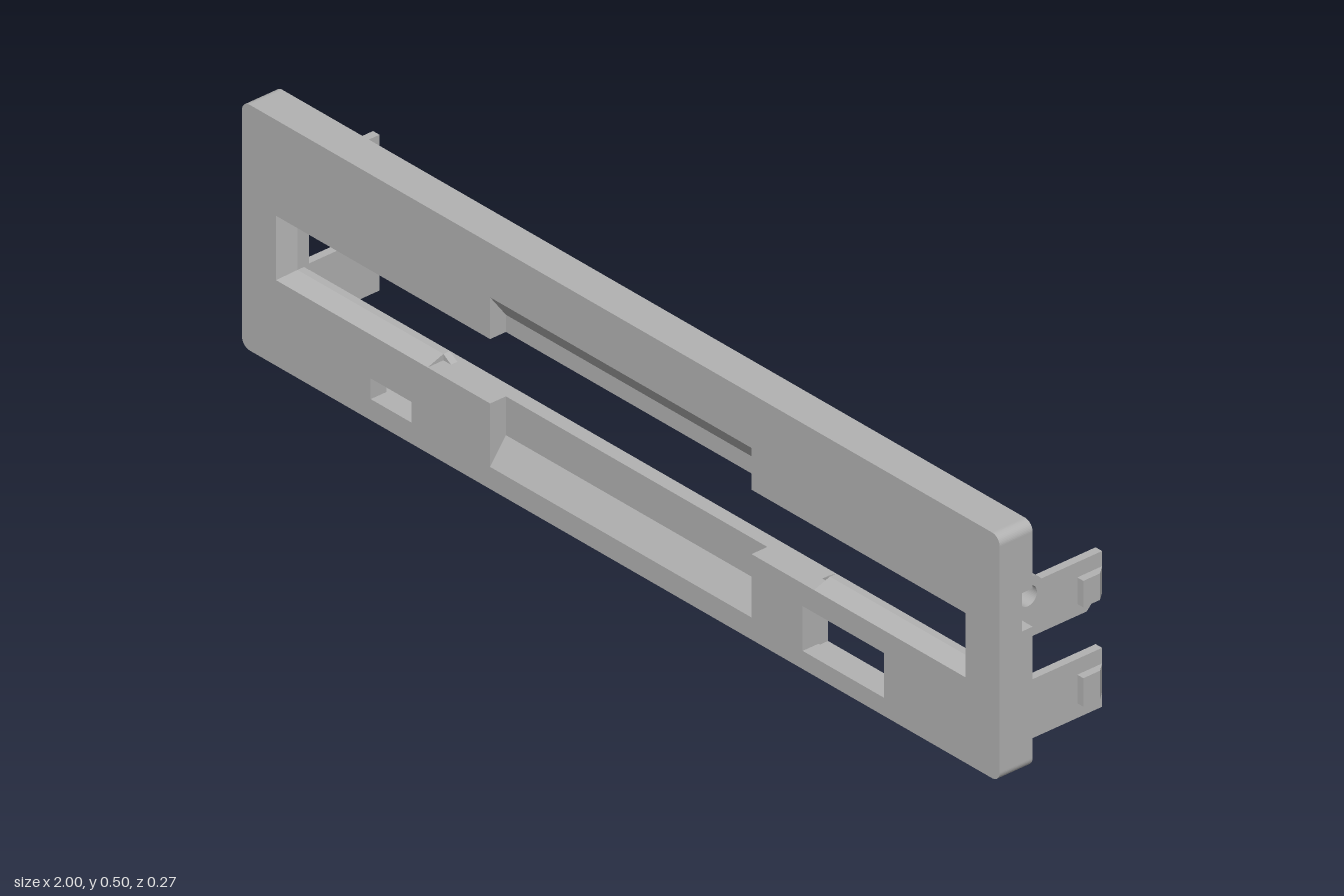
import * as THREE from 'three';

const plastic = new THREE.MeshStandardMaterial({ color: 0xb2b2b2 });
plastic.name = 'grey plastic';

const rect = (x0, x1, y0, y1) => [[x0, y0], [x1, y0], [x1, y1], [x0, y1]];
const toPath = (pts) => new THREE.Path(pts.map(([x, y]) => new THREE.Vector2(x, y)));

export function createModel() {
  const model = new THREE.Group();
  model.name = 'drive bezel';

  const add = (name, geometry, parent = model) => {
    const mesh = new THREE.Mesh(geometry, plastic);
    mesh.name = name;
    parent.add(mesh);
  };

  // Rounded plate outline, optionally notched at both side edges for the pivots
  const outline = (notched) => {
    const s = new THREE.Shape(), r = 0.02;
    s.moveTo(-1 + r, 0);
    s.lineTo(1 - r, 0);
    s.absarc(1 - r, r, r, -Math.PI / 2, 0);
    if (notched) [[1, 0.287], [0.925, 0.287], [0.925, 0.365], [1, 0.365]].forEach(([x, y]) => s.lineTo(x, y));
    s.lineTo(1, 0.5 - r);
    s.absarc(1 - r, 0.5 - r, r, 0, Math.PI / 2);
    s.lineTo(-1 + r, 0.5);
    s.absarc(-1 + r, 0.5 - r, r, Math.PI / 2, Math.PI);
    if (notched) [[-1, 0.365], [-0.925, 0.365], [-0.925, 0.287], [-1, 0.287]].forEach(([x, y]) => s.lineTo(x, y));
    s.lineTo(-1, r);
    s.absarc(-1 + r, r, r, Math.PI, Math.PI * 1.5);
    return s;
  };

  const layer = (name, z0, z1, holes, notched = false) => {
    const s = outline(notched);
    s.holes = holes.map(toPath);
    const g = new THREE.ExtrudeGeometry(s, { depth: z1 - z0, bevelEnabled: false, curveSegments: 6 });
    add(name, g.translate(0, 0, z0));
  };

  // Shape drawn with x = -z, extruded along x
  const extrudeX = (shape, x0, x1) =>
    new THREE.ExtrudeGeometry(shape, { depth: x1 - x0, bevelEnabled: false, curveSegments: 24 })
      .rotateY(Math.PI / 2).translate(x0, 0, 0);
  // Profile of [z, y] points extruded along x
  const prism = (profile, x0, x1) =>
    extrudeX(new THREE.Shape(profile.map(([z, y]) => new THREE.Vector2(-z, y))), x0, x1);
  // Profile of [z, x] points extruded upward along y
  const uprightPrism = (profile, y0, y1) =>
    prism(profile.map(([z, x]) => [z, -x]), y0, y1).rotateZ(Math.PI / 2);

  // Front layer: wide slot with finger recess, and two small windows
  const wideSlot = [
    [-0.91, 0.174], [-0.345, 0.174], [-0.345, 0.045], [0.345, 0.045], [0.345, 0.174], [0.91, 0.174],
    [0.91, 0.305], [0.345, 0.305], [0.345, 0.39], [-0.345, 0.39], [-0.345, 0.305], [-0.91, 0.305],
  ];
  layer('front face', 0.1, 0.137, [
    wideSlot, rect(-0.66, -0.553, 0.043, 0.085), rect(0.48, 0.695, 0.037, 0.128),
  ]);

  // Middle layer: slot narrowed at both ends, and the pockets behind the windows
  const pockets = [rect(-0.78, -0.467, 0.035, 0.15), rect(0.46, 0.72, 0.018, 0.152)];
  const narrowSlot = [
    [-0.895, 0.187], [-0.51, 0.187], [-0.49, 0.174], [0.49, 0.174], [0.51, 0.187], [0.895, 0.187],
    [0.895, 0.285], [0.51, 0.285], [0.49, 0.305], [-0.49, 0.305], [-0.51, 0.285], [-0.895, 0.285],
  ];
  layer('slot wall', 0.085, 0.1, [narrowSlot, ...pockets]);

  // Back layer: long recess around the slot
  layer('back face', 0.06, 0.085, [rect(-0.91, 0.91, 0.165, 0.355), ...pockets], true);

  // Sloped top and bottom of the finger recess
  add('recess lower slope', prism([[0.137, 0.045], [0.1, 0.045], [0.1, 0.095]], -0.345, 0.345));
  add('recess upper slope', prism([[0.137, 0.39], [0.1, 0.39], [0.1, 0.34]], -0.345, 0.345));

  for (const side of [-1, 1]) {
    const group = new THREE.Group();
    group.name = side > 0 ? 'left side' : 'right side';
    model.add(group);
    const span = (a, b) => (side > 0 ? [a, b] : [-b, -a]);

    // Funnel slopes at the end of the slot
    add('slot lower slope', prism([[0.137, 0.174], [0.1, 0.174], [0.1, 0.187]], ...span(0.51, 0.91)), group);
    add('slot upper slope', prism([[0.137, 0.305], [0.1, 0.305], [0.1, 0.285]], ...span(0.51, 0.91)), group);
    add('slot end slope', uprightPrism(
      [[0.137, 0.91 * side], [0.1, 0.91 * side], [0.1, 0.895 * side]], 0.174, 0.305), group);

    // Pivot ring
    const ring = new THREE.Shape();
    ring.absarc(-0.04, 0.326, 0.039, 0, Math.PI * 2);
    const bore = new THREE.Path();
    bore.absarc(-0.04, 0.326, 0.021, 0, Math.PI * 2);
    ring.holes.push(bore);
    add('pivot ring', extrudeX(ring, ...span(0.925, 0.965)), group);

    // Clip arms
    add('upper clip arm', prism([
      [0.065, 0.238], [0.065, 0.288], [0.04, 0.29], [0.012, 0.3], [0.004, 0.322], [0.01, 0.347],
      [-0.136, 0.347], [-0.136, 0.275], [-0.1, 0.238],
    ], ...span(0.945, 0.962)), group);
    add('lower clip arm', prism([
      [0.065, 0.03], [0.065, 0.15], [-0.136, 0.15], [-0.136, 0.03],
    ], ...span(0.945, 0.962)), group);

    // Wedge-shaped hooks on the outside of the arms
    const hook = [[-0.078, 0.96], [-0.078, 0.978], [-0.117, 0.978], [-0.136, 0.962], [-0.136, 0.96]]
      .map(([z, x]) => [z, x * side]);
    add('upper clip hook', uprightPrism(hook, 0.262, 0.316), group);
    add('lower clip hook', uprightPrism(hook, 0.06, 0.118), group);
  }

  return model;
}
